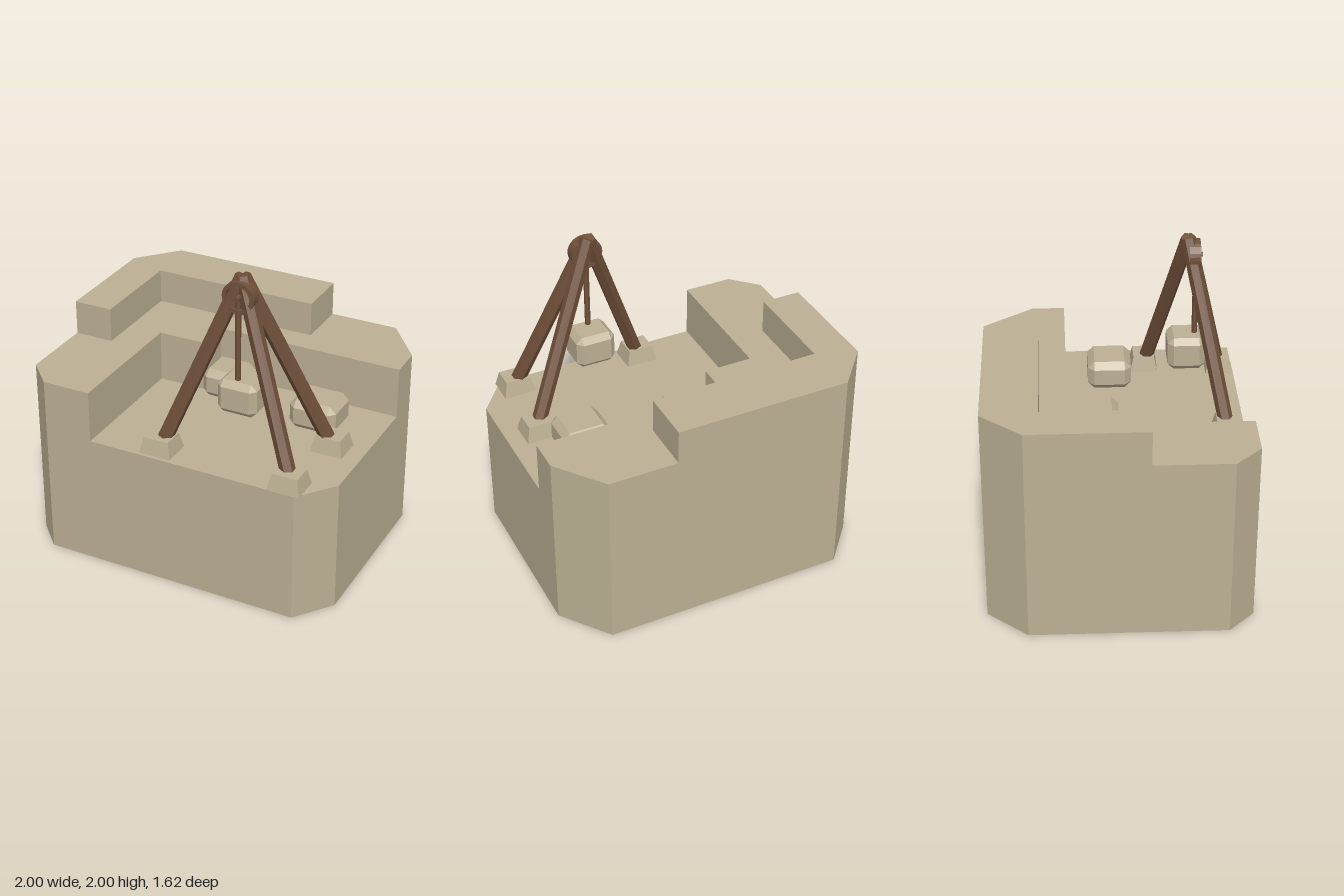
import * as THREE from 'three';
import { ConvexGeometry } from 'three/addons/geometries/ConvexGeometry.js';

const stone = new THREE.MeshStandardMaterial({ color: 0xbcb093 });
stone.name = 'sandstone';
const wood = new THREE.MeshStandardMaterial({ color: 0x70503a });
wood.name = 'brown wood';

// Gives every face its own flat normal
function facet(geometry) {
  const g = geometry.index ? geometry.toNonIndexed() : geometry;
  g.computeVertexNormals();
  return g;
}

// Extrudes an (x, z) outline from height y0 to y1
function slab(outline, y0, y1) {
  const shape = new THREE.Shape(outline.map(([x, z]) => new THREE.Vector2(x, -z)));
  const g = new THREE.ExtrudeGeometry(shape, { depth: y1 - y0, bevelEnabled: false });
  return g.rotateX(-Math.PI / 2).translate(0, y0, 0);
}

// Box with all edges chamfered by c
function chamferedBox(w, h, d, c) {
  const half = [w / 2, h / 2, d / 2];
  const points = [];
  for (const sx of [-1, 1]) for (const sy of [-1, 1]) for (const sz of [-1, 1]) {
    for (let full = 0; full < 3; full++) {
      const p = half.map((v, i) => (i === full ? v : v - c));
      points.push(new THREE.Vector3(p[0] * sx, p[1] * sy, p[2] * sz));
    }
  }
  return new ConvexGeometry(points);
}

// Straight faceted pole between two points
function pole(a, b, radius, sides) {
  const dir = b.clone().sub(a);
  const g = new THREE.CylinderGeometry(radius, radius, dir.length(), sides);
  const q = new THREE.Quaternion().setFromUnitVectors(new THREE.Vector3(0, 1, 0), dir.normalize());
  g.applyQuaternion(q);
  g.translate((a.x + b.x) / 2, (a.y + b.y) / 2, (a.z + b.z) / 2);
  return facet(g);
}

// Tapered footing block
function taperedBlock(w, h, d, inset) {
  const g = new THREE.BoxGeometry(w, h, d);
  const p = g.attributes.position;
  for (let i = 0; i < p.count; i++) {
    if (p.getY(i) > 0) {
      p.setX(i, p.getX(i) - Math.sign(p.getX(i)) * inset);
      p.setZ(i, p.getZ(i) - Math.sign(p.getZ(i)) * inset);
    }
  }
  return facet(g);
}

export function createModel() {
  const model = new THREE.Group();
  model.name = 'quarryWithHoist';
  const add = (name, geometry, material) => {
    const mesh = new THREE.Mesh(geometry, material);
    mesh.name = name;
    model.add(mesh);
    return mesh;
  };

  // Rock body and the two stepped ledges
  add('rockBase', slab([
    [-0.84, 0.81], [-1, 0.65], [-1, -0.56], [-0.78, -0.81],
    [0.77, -0.81], [1, -0.51], [1, 0.58], [0.82, 0.81],
  ], 0, 0.85), stone);
  add('middleLedge', slab([
    [-0.84, 0.81], [-1, 0.65], [-1, -0.56], [-0.78, -0.81], [0.77, -0.81], [1, -0.51],
    [1, -0.3], [-0.22, -0.3], [-0.22, -0.07], [-0.53, -0.07], [-0.53, 0.81],
  ], 0.85, 1.18), stone);
  add('upperLedge', slab([
    [-1, 0.17], [-1, -0.56], [-0.78, -0.81], [0.33, -0.81],
    [0.33, -0.47], [-0.75, -0.47], [-0.75, 0.17],
  ], 1.18, 1.4), stone);

  // Cut stone blocks
  add('restingBlockRight', chamferedBox(0.28, 0.19, 0.26, 0.042), stone).position.set(-0.06, 0.945, -0.11);
  add('restingBlockLeft', chamferedBox(0.305, 0.19, 0.28, 0.042), stone).position.set(0.603, 0.945, -0.015);
  add('hangingBlock', chamferedBox(0.255, 0.215, 0.235, 0.037), stone).position.set(0.322, 1.232, 0.458);

  // Tripod legs on their footings
  const apex = new THREE.Vector3(0.317, 1.982, 0.462);
  const feet = [[-0.103, 0.695], [0.793, 0.22], [0.747, 0.717]];
  const legEnds = [[-0.095, 0.69], [0.785, 0.232], [0.742, 0.705]];
  feet.forEach(([x, z], i) => {
    add('footing', taperedBlock(0.205, 0.1, 0.18, 0.022), stone).position.set(x, 0.9, z);
    const [lx, lz] = legEnds[i];
    add('tripodLeg', pole(new THREE.Vector3(lx, 0.9, lz), apex, 0.047, 6), wood);
  });

  // Pulley ring with its axle
  const ring = new THREE.Shape().absarc(0, 0, 0.1, 0, Math.PI * 2, false);
  ring.holes.push(new THREE.Path().absarc(0, 0, 0.075, 0, Math.PI * 2, true));
  const ringGeometry = new THREE.ExtrudeGeometry(ring, { depth: 0.07, bevelEnabled: false, curveSegments: 14 });
  add('pulleyRing', facet(ringGeometry), wood).position.set(0.32, 1.872, 0.466);
  add('pulleyAxle', pole(new THREE.Vector3(0.32, 1.872, 0.45), new THREE.Vector3(0.32, 1.872, 0.552), 0.016, 8), wood);

  // Rope down to the hanging block
  add('rope', pole(new THREE.Vector3(0.313, 1.33, 0.512), new THREE.Vector3(0.313, 1.86, 0.512), 0.018, 6), wood);

  return model;
}
